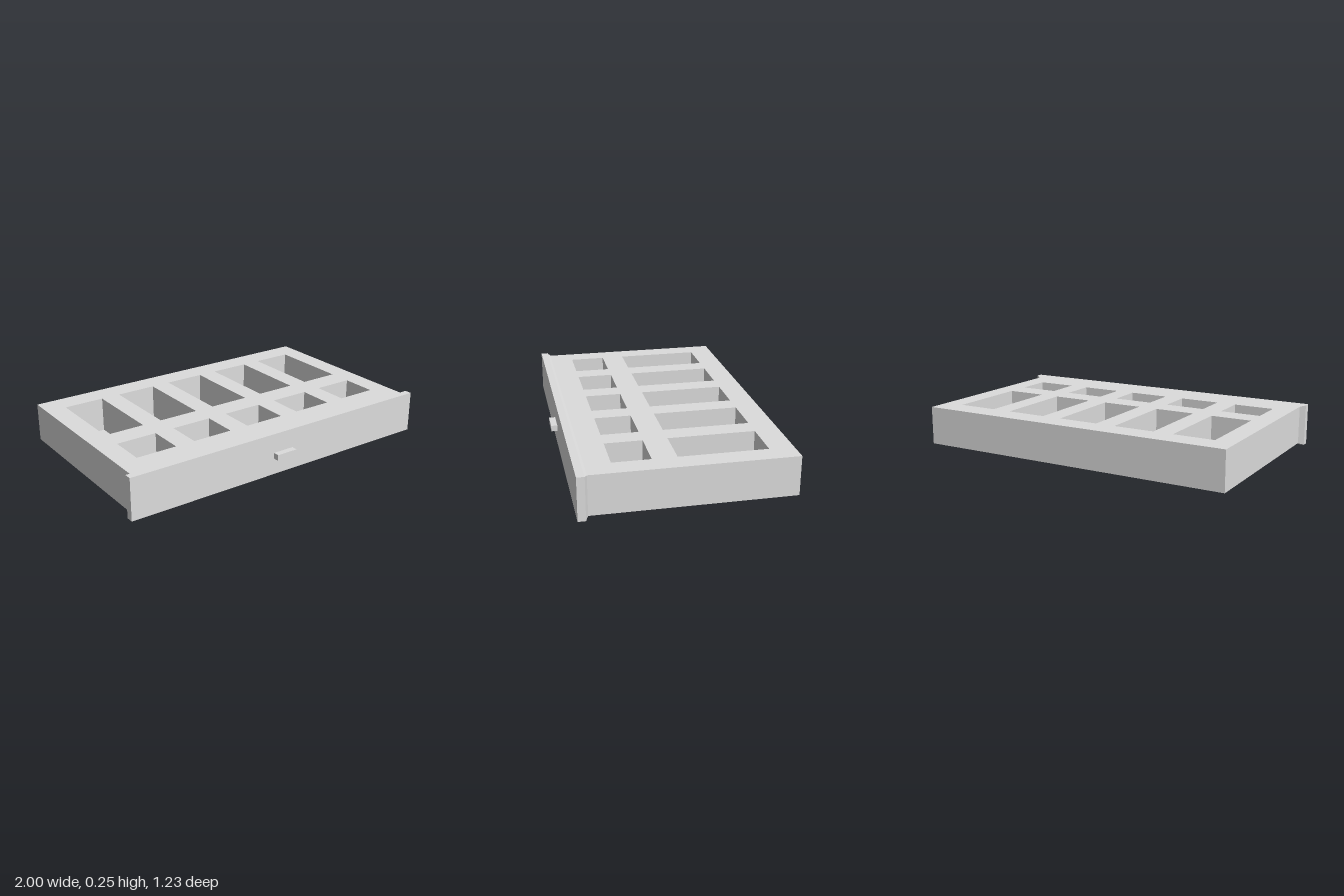
import * as THREE from 'three';

const grey = new THREE.MeshStandardMaterial({ color: 0xdcdcdc });
grey.name = 'lightGrey';

// Box given by its limits on each axis
function boxBetween(name, [x0, x1], [y0, y1], [z0, z1]) {
  const geometry = new THREE.BoxGeometry(x1 - x0, y1 - y0, z1 - z0);
  const mesh = new THREE.Mesh(geometry, grey);
  mesh.position.set((x0 + x1) / 2, (y0 + y1) / 2, (z0 + z1) / 2);
  mesh.name = name;
  return mesh;
}

// Counter-clockwise rectangle in plan; z is negated because the shape is later laid flat
function rectangle(path, x0, x1, z0, z1) {
  path.moveTo(x0, -z1);
  path.lineTo(x1, -z1);
  path.lineTo(x1, -z0);
  path.lineTo(x0, -z0);
  path.closePath();
  return path;
}

export function createModel() {
  const model = new THREE.Group();
  model.name = 'compartmentDrawer';

  const halfWidth = 0.967, back = -0.613, front = 0.518;
  const bottom = 0.01, floorTop = 0.03, top = 0.239;
  const panelHeight = 0.248, panelBack = 0.533, panelFront = 0.576;

  // Tray walls: one slab pierced by five columns of a long and a short compartment
  const plan = rectangle(new THREE.Shape(), -halfWidth, halfWidth, back, front);
  for (let i = -2; i <= 2; i++) {
    const x = i * 0.362;
    for (const [z0, z1] of [[-0.473, 0.026], [0.164, 0.378]]) {
      plan.holes.push(rectangle(new THREE.Path(), x - 0.122, x + 0.122, z0, z1));
    }
  }
  const trayGeometry = new THREE.ExtrudeGeometry(plan, { depth: top - floorTop, bevelEnabled: false });
  trayGeometry.rotateX(-Math.PI / 2);
  const tray = new THREE.Mesh(trayGeometry, grey);
  tray.position.y = floorTop;
  tray.name = 'compartmentTray';
  model.add(tray);

  // Floor under the compartments
  model.add(boxBetween('trayFloor', [-halfWidth, halfWidth], [bottom, floorTop], [back, front]));

  // Front panel
  model.add(boxBetween('frontPanel', [-1, 1], [0, panelHeight], [panelBack, panelFront]));

  // Sloped rim between panel and tray: a box whose rear face is shrunk
  const rim = boxBetween('panelRim', [-1, 1], [0, panelHeight], [front, panelBack]);
  const p = rim.geometry.attributes.position;
  for (let i = 0; i < p.count; i++) {
    if (p.getZ(i) < 0) {
      p.setX(i, Math.sign(p.getX(i)) * halfWidth);
      p.setY(i, (p.getY(i) > 0 ? top : bottom) - panelHeight / 2);
    }
  }
  rim.geometry.computeVertexNormals();
  model.add(rim);

  // Small pull handle
  model.add(boxBetween('handle', [-0.082, 0.051], [0.098, 0.133], [panelFront, 0.613]));

  return model;
}
